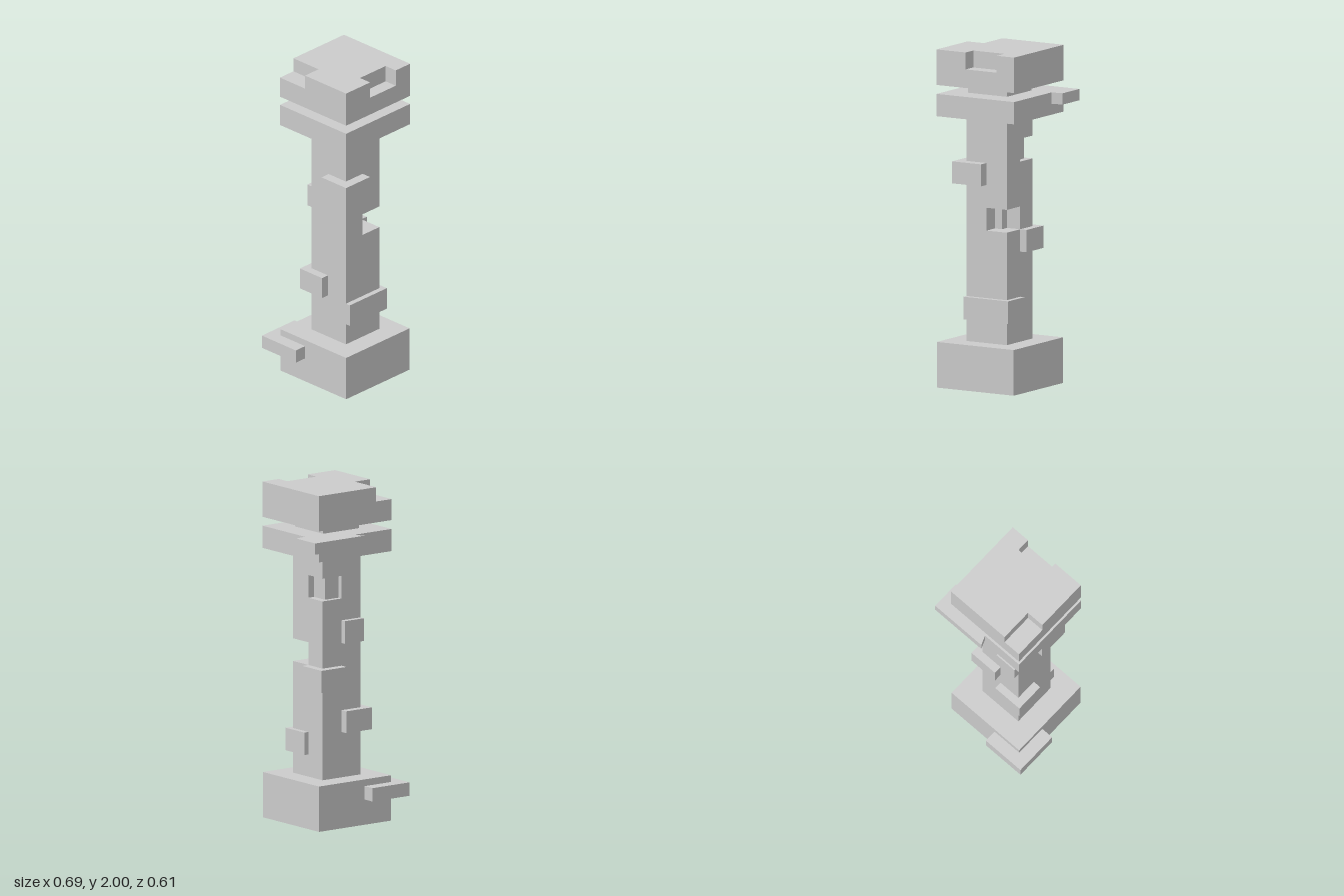
import * as THREE from 'three';

const material = new THREE.MeshStandardMaterial({ color: 0xcccccc, flatShading: true });

// Upright prism from a plan outline of [x, z] corners between two heights
function prism(name, y0, y1, plan) {
  const shape = new THREE.Shape(plan.map(([x, z]) => new THREE.Vector2(x, -z)));
  const geometry = new THREE.ExtrudeGeometry(shape, { depth: y1 - y0, bevelEnabled: false });
  geometry.rotateX(-Math.PI / 2);
  geometry.translate(0, y0, 0);
  const mesh = new THREE.Mesh(geometry, material);
  mesh.name = name;
  return mesh;
}

const rect = (x0, x1, z0, z1) => [[x0, z0], [x1, z0], [x1, z1], [x0, z1]];

export function createModel() {
  const model = new THREE.Group();
  model.name = 'pillar';
  const group = (name, ...parts) => {
    const g = new THREE.Group();
    g.name = name;
    g.add(...parts);
    model.add(g);
  };

  // Base with a chipped-out stone wrapping its back right corner
  group('base',
    prism('baseBlock', 0, 0.27, rect(-0.265, 0.267, -0.23, 0.303)),
    prism('baseCornerStone', 0.15, 0.23, rect(-0.343, -0.07, -0.305, -0.03)));

  // Shaft in stacked courses; two of them have stepped corner notches
  const full = rect(-0.14, 0.14, -0.1, 0.18);
  const frontNotch = [[-0.14, -0.1], [0.14, -0.1], [0.14, 0.035], [0.05, 0.035],
    [0.05, 0.09], [0, 0.09], [0, 0.18], [-0.14, 0.18]];
  const backNotch = [[-0.14, -0.1], [0, -0.1], [0, -0.07], [0.098, -0.07],
    [0.098, 0.035], [0.14, 0.035], [0.14, 0.18], [-0.14, 0.18]];
  group('shaft',
    prism('lowerShaft', 0.27, 0.935, full),
    prism('frontNotchCourse', 0.935, 1.07, frontNotch),
    prism('middleShaft', 1.07, 1.335, full),
    prism('backNotchCourse', 1.335, 1.47, backNotch),
    prism('upperShaft', 1.47, 1.605, full));

  // Stones standing proud of the shaft
  group('shaftStones',
    prism('lowFrontStone', 0.402, 0.536, [[-0.14, 0.18], [0.14, 0.18], [0.14, 0.035],
      [0.17, 0.035], [0.17, 0.212], [-0.14, 0.212]]),
    prism('lowBackStone', 0.54, 0.67, rect(-0.19, 0, -0.145, 0.035)),
    prism('middleBackStone', 0.803, 0.935, rect(0, 0.185, -0.148, 0.035)),
    prism('highBackStone', 1.07, 1.205, rect(-0.14, 0, -0.133, -0.1)),
    prism('highFrontStone', 1.205, 1.335, rect(-0.2, 0, 0.04, 0.24)));

  // Collar slab with a slanted ledge around its back left corner
  group('collar',
    prism('collarSlab', 1.605, 1.737, rect(-0.266, 0.27, -0.232, 0.304)),
    prism('collarLedge', 1.67, 1.737, [[-0.021, -0.29], [0.342, -0.29], [0.342, -0.11],
      [0.27, -0.1], [0.27, -0.232], [0.002, -0.232]]),
    prism('neck', 1.737, 1.79, rect(-0.133, 0.134, -0.097, 0.17)));

  // Cap with a front notch and a shallower back right corner notch
  const [l, r, b, f] = [-0.266, 0.27, -0.233, 0.304];
  const frontCut = [[r, b], [r, f], [0.15, f], [0.15, 0.222], [-0.065, 0.222], [-0.065, f], [l, f]];
  group('cap',
    prism('capBlock', 1.79, 1.9, rect(l, r, b, f)),
    prism('capFrontNotch', 1.9, 1.915, [[l, b], ...frontCut]),
    prism('capTop', 1.915, 2, [...frontCut, [l, -0.03], [-0.153, -0.03], [-0.153, b]]));

  return model;
}
